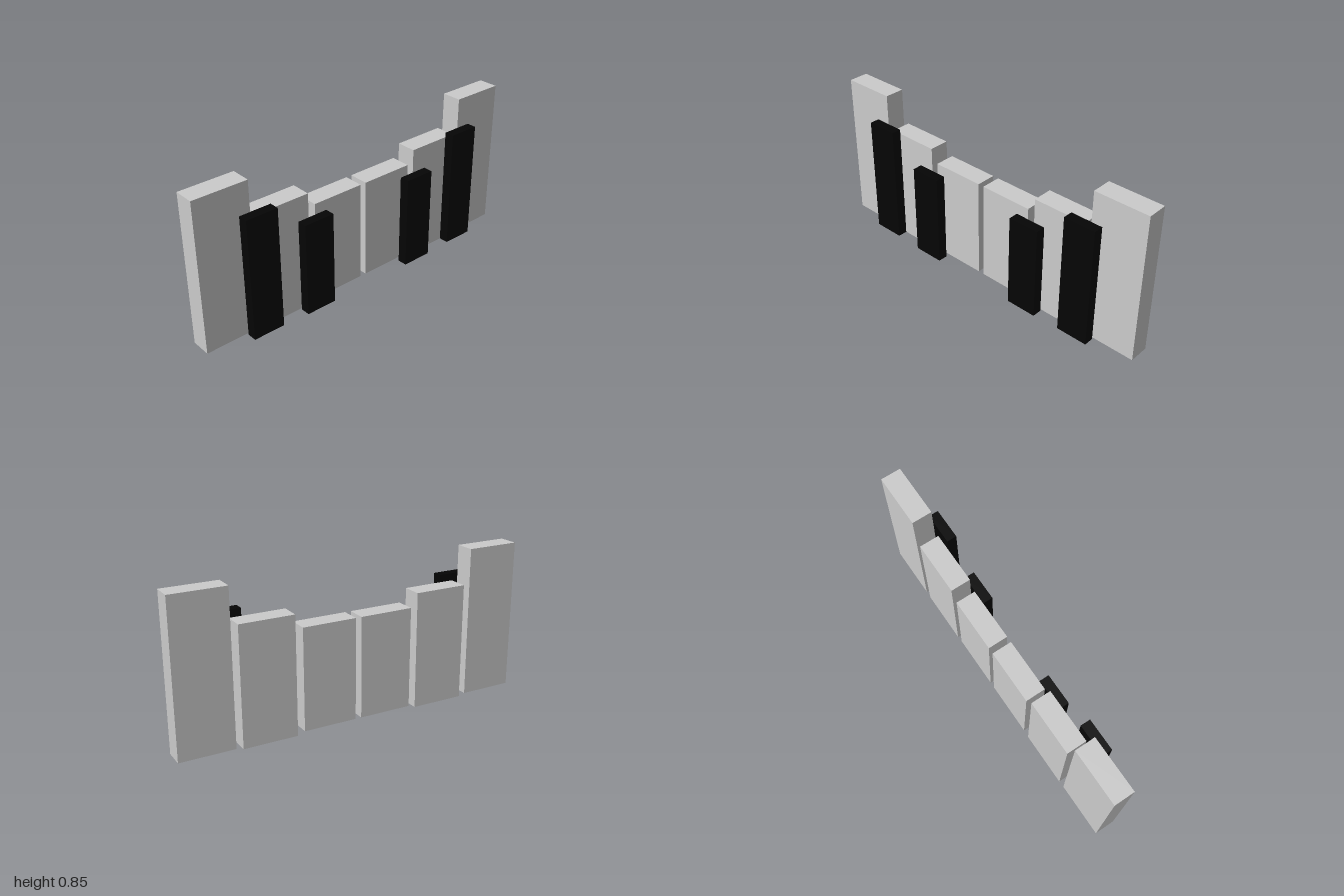
import * as THREE from 'three';

const grey = new THREE.MeshStandardMaterial({ color: 0xcccccc });
const black = new THREE.MeshStandardMaterial({ color: 0x050505 });

// Upright slab given by its extents on each axis
function slab(name, material, [x0, x1], [y0, y1], [z0, z1]) {
  const mesh = new THREE.Mesh(new THREE.BoxGeometry(x1 - x0, y1 - y0, z1 - z0), material);
  mesh.position.set((x0 + x1) / 2, (y0 + y1) / 2, (z0 + z1) / 2);
  mesh.name = name;
  return mesh;
}

export function createModel() {
  const model = new THREE.Group();
  model.name = 'panelRow';

  const panelDepth = [-0.09, 0.022];
  const stripDepth = [0.035, 0.09];
  const parts = [
    // Grey back panels, stepping up towards the ends
    ['InnerPanel', grey, [0.017, 0.319], [0.016, 0.58], panelDepth],
    ['MiddlePanel', grey, [0.359, 0.661], [0, 0.655], panelDepth],
    ['OuterPanel', grey, [0.698, 1], [0.011, 0.851], panelDepth],
    // Narrow black strips standing in front
    ['InnerStrip', black, [0.257, 0.434], [0.003, 0.53], stripDepth],
    ['OuterStrip', black, [0.59, 0.768], [0.013, 0.691], stripDepth],
  ];

  // Mirror every part to both sides
  for (const [name, material, x, y, z] of parts) {
    model.add(slab('left' + name, material, x, y, z));
    model.add(slab('right' + name, material, [-x[1], -x[0]], y, z));
  }
  return model;
}
